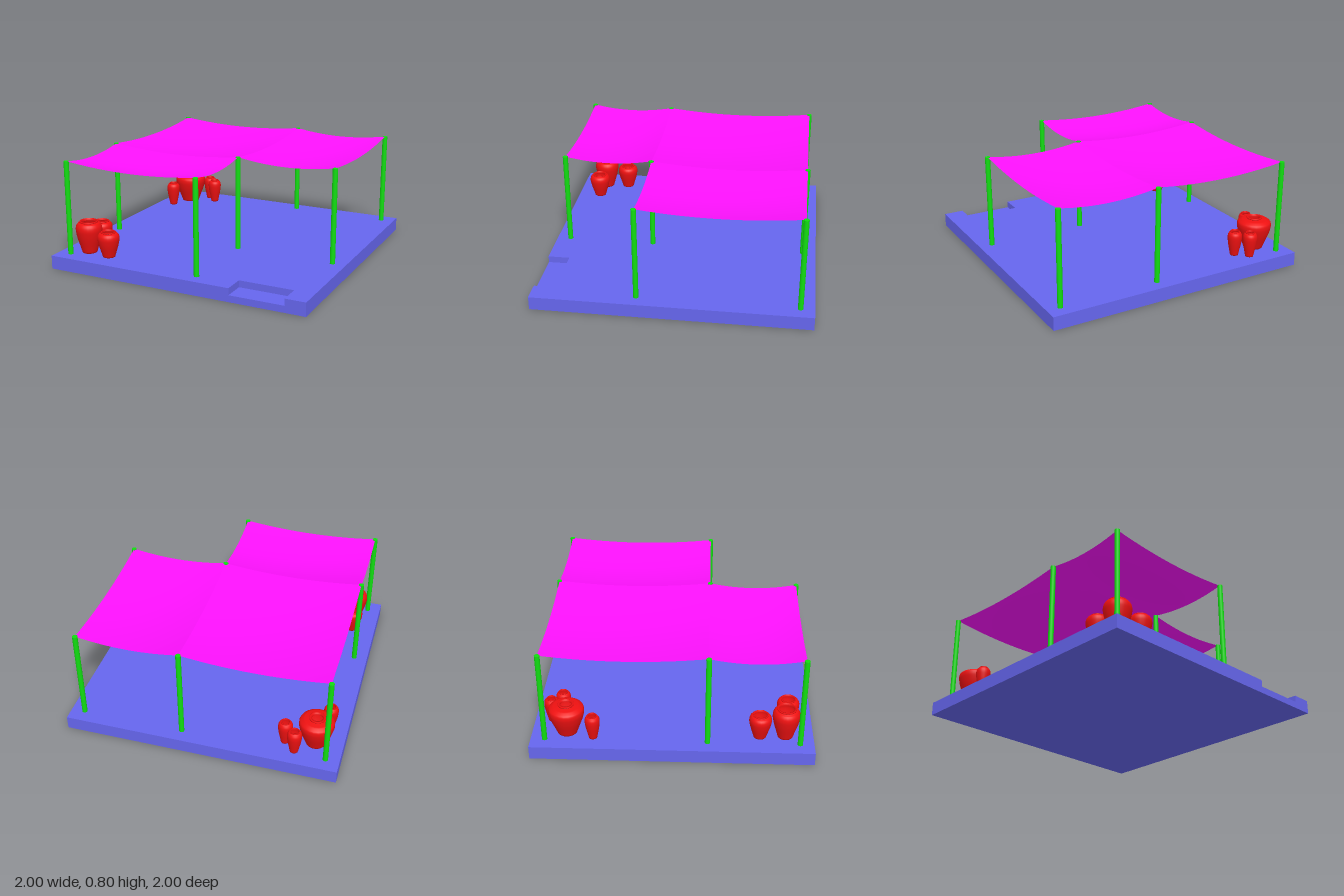
import * as THREE from 'three';

const mat = (color, side = THREE.FrontSide) => new THREE.MeshStandardMaterial({ color, side });

const POST_X = [-0.9, 0.15, 0.9];
const POST_Z = [-0.9, 0.25, 0.9];
const BASE_TOP = 0.1, POST_TOP = 0.8, SAG = 0.035;

function add(parent, name, geometry, material, x = 0, y = 0, z = 0) {
  const mesh = new THREE.Mesh(geometry, material);
  mesh.name = name;
  mesh.position.set(x, y, z);
  parent.add(mesh);
  return mesh;
}

// Cloth panel hanging between four posts, sagging along both directions
function clothPanel(x0, x1, z0, z1) {
  const w = x1 - x0, d = z1 - z0;
  const geo = new THREE.PlaneGeometry(w, d, 20, 20).rotateX(-Math.PI / 2);
  const pos = geo.attributes.position;
  for (let i = 0; i < pos.count; i++) {
    const u = (2 * pos.getX(i)) / w, v = (2 * pos.getZ(i)) / d;
    pos.setY(i, -SAG * (1 - u * u) - SAG * (1 - v * v));
  }
  geo.computeVertexNormals();
  return geo.translate((x0 + x1) / 2, POST_TOP, (z0 + z1) / 2);
}

// Shouldered jar: narrow foot, wide shoulder, short neck and rolled lip
function jarGeometry(radius, height, lip) {
  const body = new THREE.SplineCurve([
    [0.56, 0], [0.7, 0.2], [0.88, 0.45], [0.98, 0.65], [1, 0.76],
    [0.95, 0.86], [0.5 + lip * 0.45, 0.94],
  ].map(([r, h]) => new THREE.Vector2(r * radius, h * height))).getPoints(18);
  const neck = [[lip - 0.05, 0.955], [lip, 0.965], [lip, 0.99], [lip - 0.03, 1], [lip - 0.13, 1], [lip - 0.13, 0.93]]
    .map(([r, h]) => new THREE.Vector2(r * radius, h * height));
  return new THREE.LatheGeometry([new THREE.Vector2(0, 0), ...body, ...neck], 24);
}

export function createModel() {
  const model = new THREE.Group();
  model.name = 'courtyardCanopy';
  const stone = mat(0x6666ee), green = mat(0x11dd11);
  const cloth = mat(0xff11ff, THREE.DoubleSide), clay = mat(0xee1111, THREE.DoubleSide);

  // Platform: full lower slab, upper slab with a step cut into the front edge
  const base = new THREE.Group();
  base.name = 'platform';
  model.add(base);
  add(base, 'lowerSlab', new THREE.BoxGeometry(2, 0.05, 2), stone, 0, 0.025, 0);
  const outline = new THREE.Shape([
    [-1, -1], [0.445, -1], [0.445, -0.84], [0.85, -0.84], [0.85, -1], [1, -1], [1, 1], [-1, 1],
  ].map(([x, y]) => new THREE.Vector2(x, y)));
  const upper = new THREE.ExtrudeGeometry(outline, { depth: 0.05, bevelEnabled: false });
  add(base, 'upperSlab', upper.rotateX(-Math.PI / 2), stone, 0, 0.05, 0);

  // Posts at every grid corner except the open front one
  const postGeo = new THREE.CylinderGeometry(0.019, 0.019, POST_TOP - BASE_TOP, 16);
  for (const x of POST_X) for (const z of POST_Z) {
    if (x === 0.9 && z === 0.9) continue;
    add(model, 'post', postGeo, green, x, (POST_TOP + BASE_TOP) / 2, z);
  }

  // Three cloth panels leaving the front corner open to the sky
  const canopy = new THREE.Group();
  canopy.name = 'canopy';
  model.add(canopy);
  for (const [i, j] of [[0, 0], [1, 0], [0, 1]]) {
    add(canopy, 'clothPanel', clothPanel(POST_X[i], POST_X[i + 1], POST_Z[j], POST_Z[j + 1]), cloth);
  }

  // Two clusters of jars: x, z, radius, height, lip ratio
  const clusters = {
    frontJars: [
      [-0.8, 0.8, 0.097, 0.24, 0.7],
      [-0.615, 0.825, 0.08, 0.19, 0.68],
      [-0.81, 0.62, 0.08, 0.19, 0.68],
    ],
    backJars: [
      [-0.8, -0.75, 0.126, 0.24, 0.45],
      [-0.867, -0.56, 0.053, 0.19, 0.64],
      [-0.67, -0.875, 0.053, 0.19, 0.64],
      [-0.588, -0.8, 0.053, 0.19, 0.64],
    ],
  };
  for (const [name, jars] of Object.entries(clusters)) {
    const group = new THREE.Group();
    group.name = name;
    model.add(group);
    for (const [x, z, r, h, lip] of jars) add(group, 'jar', jarGeometry(r, h, lip), clay, x, BASE_TOP, z);
  }
  return model;
}
